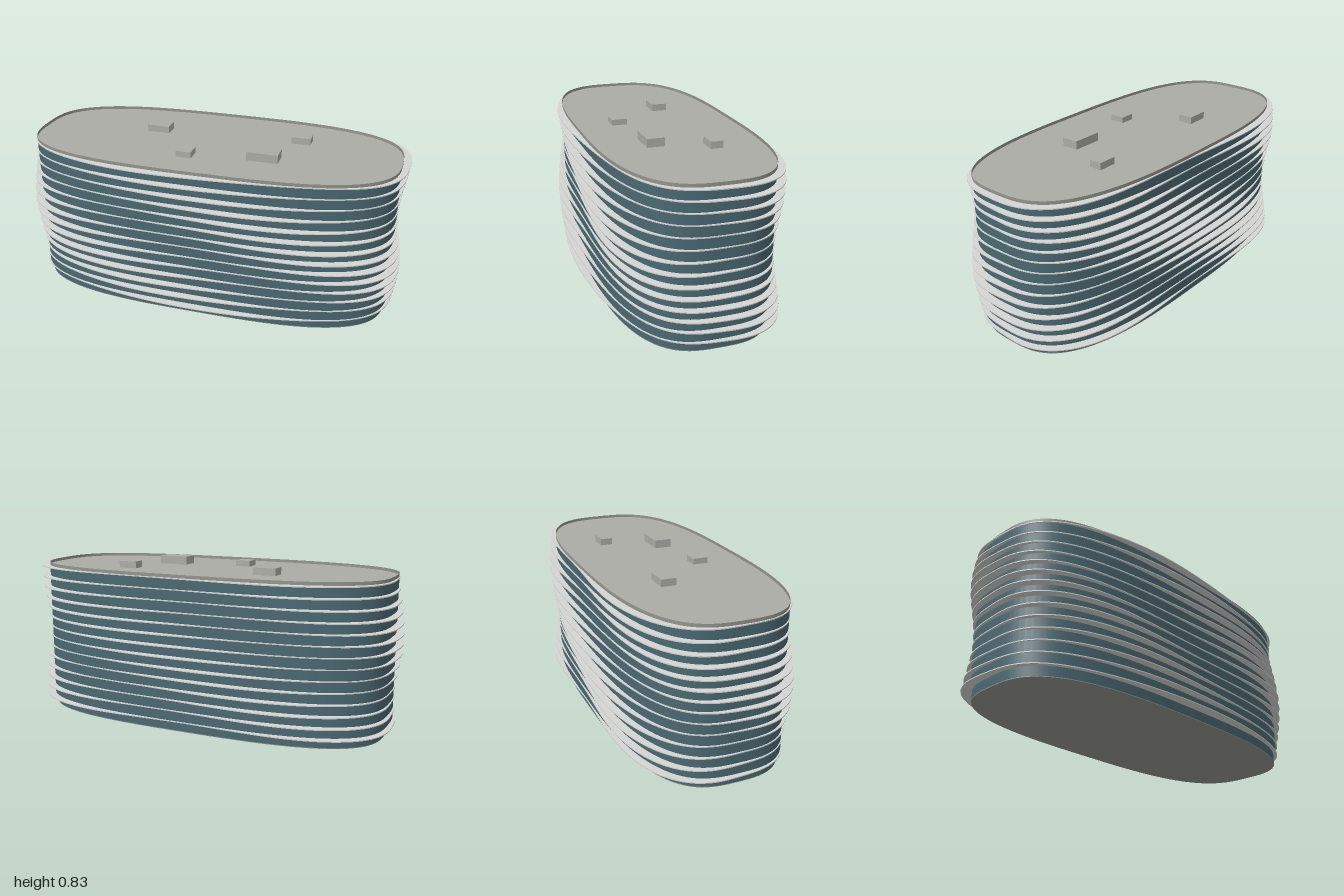
import * as THREE from 'three';
import { toCreasedNormals } from 'three/addons/utils/BufferGeometryUtils.js';

const HALF_X = 0.96, HALF_Z = 0.414, POWER = 3, STEPS = 160;
const FLOORS = 14, FLOOR_HEIGHT = 0.0562, FIRST_FLOOR = 0.055;

// Rounded plan outline, evenly spaced along its length, starting at the middle of the front
function planOutline(a, b) {
  const curve = [];
  const bend = v => Math.sign(v) * Math.abs(v) ** (2 / POWER);
  for (let i = 0; i < 720; i++) {
    const t = Math.PI / 2 + (i / 720) * Math.PI * 2;
    curve.push(new THREE.Vector2(a * bend(Math.cos(t)), b * bend(Math.sin(t))));
  }
  curve.push(curve[0].clone());
  return new THREE.Shape(curve).getSpacedPoints(STEPS).slice(0, STEPS);
}

// Push each outline point outwards by offset(fraction of the perimeter)
function offsetOutline(points, offset) {
  const n = points.length;
  return points.map((p, i) => {
    const t = points[(i + 1) % n].clone().sub(points[(i + n - 1) % n]).normalize();
    return new THREE.Vector2(p.x + t.y * offset(i / n), p.y - t.x * offset(i / n));
  });
}

// Flat-topped slab with the given plan (plan y is model z)
function slab(points, y0, y1) {
  const shape = new THREE.Shape(points.map(p => new THREE.Vector2(p.x, -p.y)));
  const geometry = new THREE.ExtrudeGeometry(shape, { depth: y1 - y0, bevelEnabled: false });
  geometry.rotateX(-Math.PI / 2).translate(0, y0, 0);
  return toCreasedNormals(geometry, 0.6);
}

// Open upright wall following the plan
function wall(points, y0, y1) {
  const positions = [], index = [], n = points.length;
  points.forEach(p => positions.push(p.x, y0, p.y, p.x, y1, p.y));
  for (let i = 0; i < n; i++) {
    const a = 2 * i, b = 2 * ((i + 1) % n);
    index.push(a, a + 1, b, b, a + 1, b + 1);
  }
  const geometry = new THREE.BufferGeometry();
  geometry.setAttribute('position', new THREE.Float32BufferAttribute(positions, 3));
  geometry.setIndex(index);
  geometry.computeVertexNormals();
  return geometry;
}

export function createModel() {
  const glass = new THREE.MeshStandardMaterial({ color: 0x4a6872 });
  glass.name = 'teal glass';
  const fin = new THREE.MeshStandardMaterial({ color: 0xd4d4d2 });
  fin.name = 'pale fin';
  const roof = new THREE.MeshStandardMaterial({ color: 0xacaca6 });
  roof.name = 'roof grey';
  const trim = new THREE.MeshStandardMaterial({ color: 0x94948e, side: THREE.DoubleSide });
  trim.name = 'parapet grey';

  const model = new THREE.Group();
  model.name = 'building';
  const add = (name, geometry, material, parent = model) => {
    const mesh = new THREE.Mesh(geometry, material);
    mesh.name = name;
    parent.add(mesh);
    return mesh;
  };

  const plan = planOutline(HALF_X, HALF_Z);
  const basePlan = offsetOutline(plan, () => -0.015);
  const top = FIRST_FLOOR + FLOOR_HEIGHT * (FLOORS - 1);

  // Ground floor and glazed body
  add('groundSlab', slab(basePlan, 0, 0.004), trim);
  add('groundFloor', slab(basePlan, 0.004, FIRST_FLOOR), glass);
  add('glazedBody', slab(plan, FIRST_FLOOR, top), glass);

  // Floor edges with a wave that travels round the building from floor to floor
  const fins = new THREE.Group();
  fins.name = 'floorFins';
  model.add(fins);
  for (let i = 0; i < FLOORS; i++) {
    const y = FIRST_FLOOR + i * FLOOR_HEIGHT;
    const wave = s => 0.023 + 0.018 * Math.cos(s * Math.PI * 6 - 0.55 * i);
    add(`floorFin${i + 1}`, slab(offsetOutline(plan, wave), y - 0.0025, y + 0.0025), fin, fins);
  }

  // Recessed roof deck inside a thin parapet
  add('roofDeck', slab(offsetOutline(plan, () => -0.001), top, top + 0.004), roof);
  add('parapet', wall(plan, top, 0.805), trim);

  // Roof plant: x, z, width, depth, top height
  const units = [
    [-0.34, -0.11, 0.12, 0.08, 0.826],
    [0.43, -0.15, 0.1, 0.065, 0.825],
    [0.29, 0.12, 0.16, 0.09, 0.833],
    [-0.1, 0.182, 0.08, 0.08, 0.82],
  ];
  units.forEach(([x, z, w, d, y], i) => {
    const h = y - top;
    add(`roofUnit${i + 1}`, new THREE.BoxGeometry(w, h, d), roof).position.set(x, top + h / 2, z);
  });

  return model;
}
